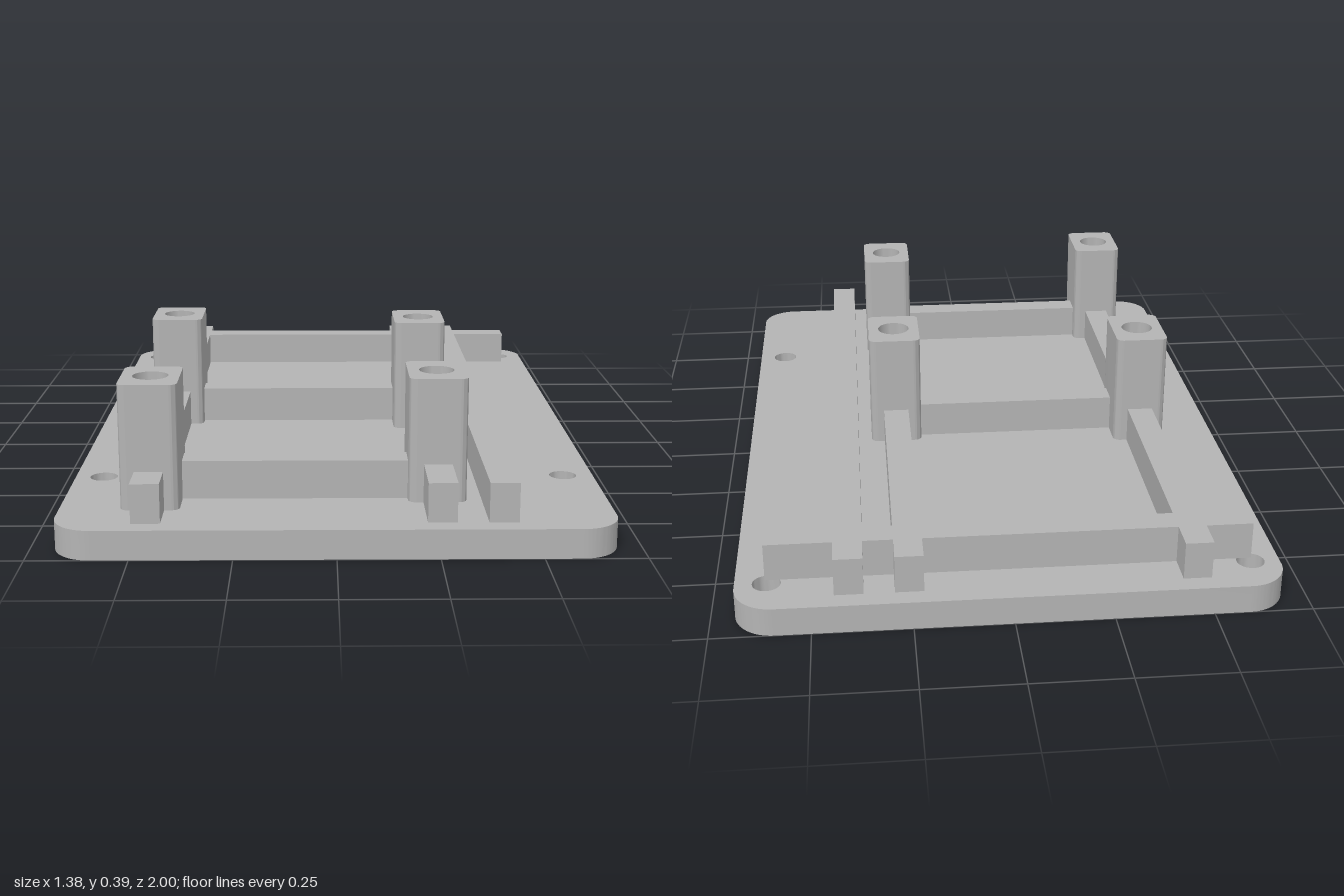
import * as THREE from 'three';
import { toCreasedNormals } from 'three/addons/utils/BufferGeometryUtils.js';

const PLATE_TOP = 0.075, RIB_TOP = 0.175, POST_TOP = 0.395;
const POST_W = 0.148, POST_D = 0.2, BORE = 0.045;

// Upright rounded block with vertical through holes, each given as [x, z, radius]
function drilledBlock(w, d, radius, y0, y1, holes) {
  const x = w / 2, y = d / 2, s = new THREE.Shape();
  s.moveTo(x, -y + radius);
  s.absarc(x - radius, y - radius, radius, 0, Math.PI / 2);
  s.absarc(-x + radius, y - radius, radius, Math.PI / 2, Math.PI);
  s.absarc(-x + radius, -y + radius, radius, Math.PI, Math.PI * 1.5);
  s.absarc(x - radius, -y + radius, radius, Math.PI * 1.5, Math.PI * 2);
  for (const [hx, hz, hr] of holes) {
    s.holes.push(new THREE.Path().absarc(hx, -hz, hr, 0, Math.PI * 2, true));
  }
  const g = new THREE.ExtrudeGeometry(s, { depth: y1 - y0, bevelEnabled: false, curveSegments: 16 });
  g.rotateX(-Math.PI / 2).translate(0, y0, 0);
  return toCreasedNormals(g, 0.6);
}

export function createModel() {
  const model = new THREE.Group();
  const grey = new THREE.MeshStandardMaterial({ color: 0xb4b4b4 });
  grey.name = 'grey plastic';

  const add = (name, geometry) => {
    const mesh = new THREE.Mesh(geometry, grey);
    mesh.name = name;
    model.add(mesh);
    return mesh;
  };
  const rib = (name, x0, x1, z0, z1) =>
    add(name, new THREE.BoxGeometry(x1 - x0, RIB_TOP - PLATE_TOP, z1 - z0))
      .position.set((x0 + x1) / 2, (PLATE_TOP + RIB_TOP) / 2, (z0 + z1) / 2);

  // Post centres: right pair, then left pair
  const columns = [
    { x: -0.463, zs: [-0.06, 0.75] },
    { x: 0.257, zs: [-0.005, 0.695] },
  ];
  const bores = columns.flatMap(c => c.zs.map(z => [c.x, z, BORE]));
  const mounts = [-0.615, 0.61].flatMap(x => [-0.88, 0.57].map(z => [x, z, 0.036]));

  // Base plate with mounting holes and post bores
  add('basePlate', drilledBlock(1.38, 2, 0.1, 0, PLATE_TOP, [...bores, ...mounts]));

  // Hollow posts, with lengthwise ribs running between them
  for (const { x, zs } of columns) {
    let start = -0.95;
    for (const z of zs) {
      add('post', drilledBlock(POST_W, POST_D, 0.02, PLATE_TOP, POST_TOP, [[0, 0, BORE]]))
        .position.set(x, 0, z);
      rib('lengthRib', x - 0.036, x + 0.036, start, z - POST_D / 2);
      start = z + POST_D / 2;
    }
    rib('lengthRib', x - 0.036, x + 0.036, start, 0.95);
  }

  // Extra full-length rib on the left
  rib('sideRib', 0.37, 0.443, -0.95, 0.95);

  // Cross ribs between the posts
  for (const z of [-0.036, 0.723]) rib('crossRib', -0.389, 0.183, z - 0.036, z + 0.036);

  // Rear cross rib, in pieces between the lengthwise ribs
  for (const [a, b] of [[-0.62, -0.499], [-0.427, 0.221], [0.293, 0.37], [0.443, 0.615]]) {
    rib('rearRib', a, b, -0.865, -0.793);
  }
  return model;
}
